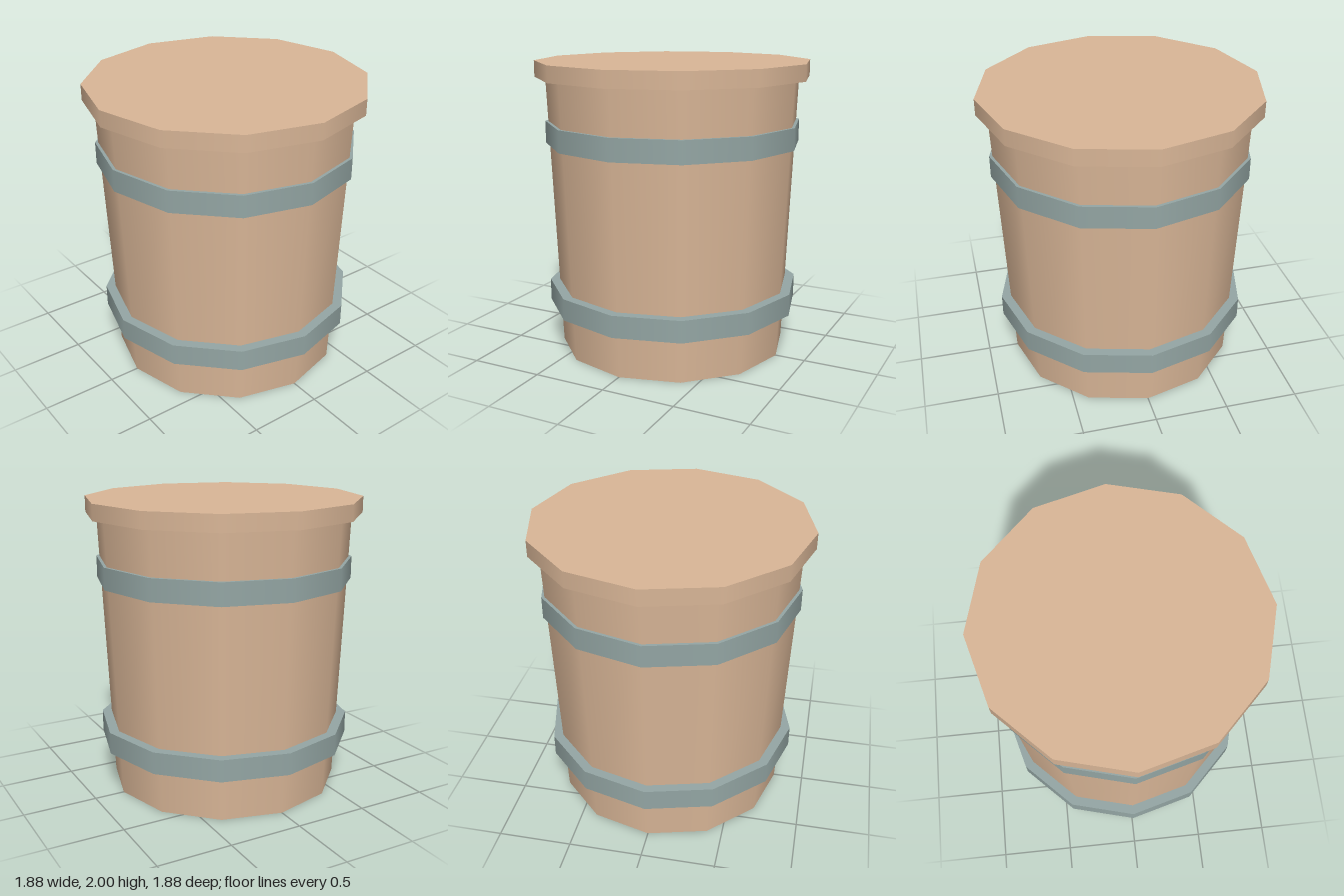
import * as THREE from 'three';

const SIDES = 12;

export function createModel() {
  const model = new THREE.Group();
  model.name = 'barrel';

  const wood = new THREE.MeshStandardMaterial({ color: 0xd9b697 });
  wood.name = 'wood';
  const metal = new THREE.MeshStandardMaterial({ color: 0x94a6a4 });
  metal.name = 'metal';

  // Closed twelve-sided drum from y0 to y1
  function addDrum(name, rBottom, rTop, y0, y1, material) {
    const geometry = new THREE.CylinderGeometry(rTop, rBottom, y1 - y0, SIDES);
    const mesh = new THREE.Mesh(geometry, material);
    mesh.name = name;
    mesh.position.y = (y0 + y1) / 2;
    model.add(mesh);
  }

  // Tapered body and overhanging lid
  addDrum('body', 0.793, 0.868, 0, 1.89, wood);
  addDrum('lid', 0.94, 0.94, 1.89, 2, wood);

  // Two straight hoops around the body
  addDrum('lowerHoop', 0.877, 0.877, 0.305, 0.455, metal);
  addDrum('upperHoop', 0.877, 0.877, 1.44, 1.59, metal);

  return model;
}
